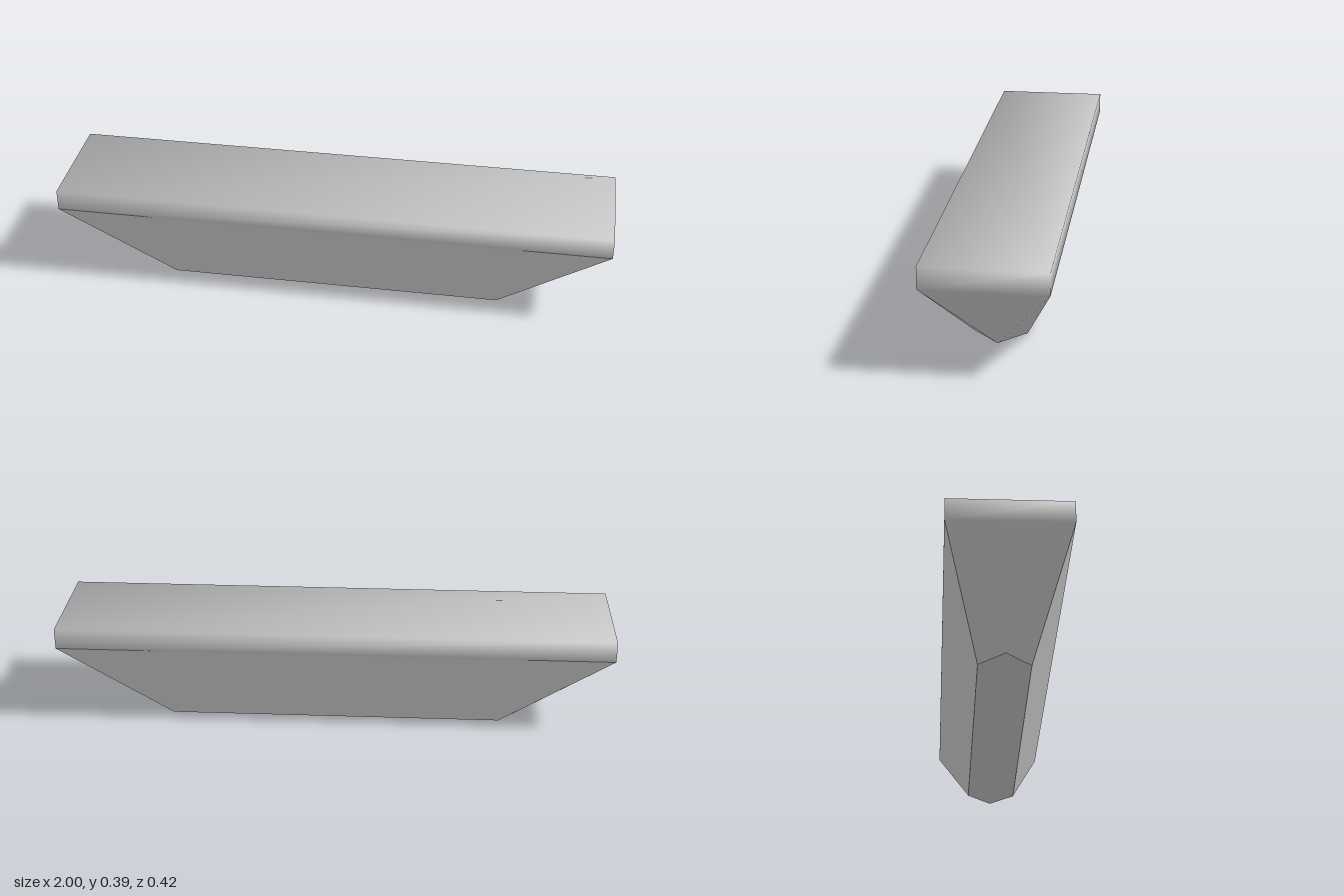
import * as THREE from 'three';
import { ConvexGeometry } from 'three/addons/geometries/ConvexGeometry.js';

const HALF_LENGTH = 1, HALF_WIDTH = 0.208, RIM_BOTTOM = 0.314, TOP = 0.39;

export function createModel() {
  const grey = new THREE.MeshStandardMaterial({ color: 0xcccccc });
  grey.name = 'light grey';
  const model = new THREE.Group();
  model.name = 'hullBlock';

  // Top slab, with normals blended around its corners
  const slab = new THREE.BoxGeometry(2 * HALF_LENGTH, TOP - RIM_BOTTOM, 2 * HALF_WIDTH);
  const { position, normal } = slab.attributes;
  const n = new THREE.Vector3();
  for (let i = 0; i < position.count; i++) {
    n.set(
      Math.sign(position.getX(i)),
      1.2 * Math.sign(position.getY(i)),
      1.07 * Math.sign(position.getZ(i))
    ).normalize();
    normal.setXYZ(i, n.x, n.y, n.z);
  }
  slab.translate(0, (TOP + RIM_BOTTOM) / 2, 0);
  const deck = new THREE.Mesh(slab, grey);
  deck.name = 'deckSlab';
  model.add(deck);

  // Faceted hull: a rectangle above, narrowing to a pointed hexagon below
  const corners = [];
  for (const sx of [-1, 1]) {
    corners.push(new THREE.Vector3(sx * 0.695, 0, 0));
    for (const sz of [-1, 1]) {
      corners.push(new THREE.Vector3(sx * HALF_LENGTH, RIM_BOTTOM, sz * HALF_WIDTH));
      corners.push(new THREE.Vector3(sx * 0.605, 0, sz * 0.09));
    }
  }
  const hull = new THREE.Mesh(new ConvexGeometry(corners), grey);
  hull.name = 'hull';
  model.add(hull);

  return model;
}
